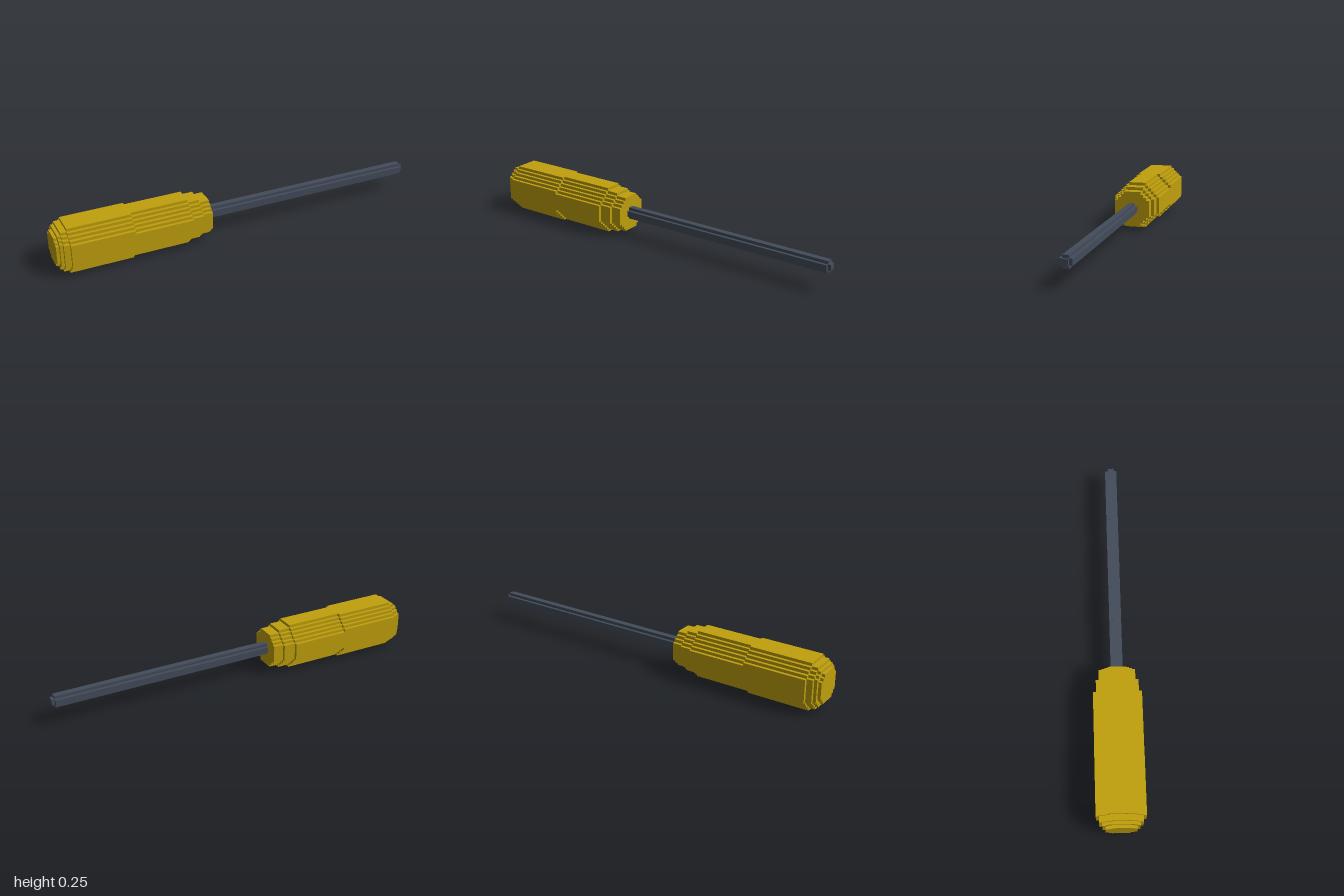
import * as THREE from 'three';

const U = 1 / 64; // one block

// Stepped octagon: half size r, with stair corners that leave flats of half width s - r
function steppedSection(r, s) {
  const quarter = [[r, s - r]];
  let x = r, y = s - r;
  while (x > s - r) {
    x--;
    quarter.push([x, y]);
    y++;
    quarter.push([x, y]);
  }
  const points = [];
  for (let k = 0; k < 4; k++) {
    for (const [a, b] of quarter) {
      const [px, py] = [[a, b], [-b, a], [-a, -b], [b, -a]][k];
      points.push(new THREE.Vector2(px * U, py * U));
    }
  }
  return new THREE.Shape(points);
}

// Prism running along x from x0 to x1 (in blocks)
function segment(name, material, x0, x1, r, s) {
  const geometry = new THREE.ExtrudeGeometry(steppedSection(r, s), {
    depth: (x1 - x0) * U, bevelEnabled: false,
  });
  geometry.rotateY(Math.PI / 2);
  geometry.translate(x0 * U, 8 * U, 0);
  const mesh = new THREE.Mesh(geometry, material);
  mesh.name = name;
  return mesh;
}

export function createModel() {
  const yellow = new THREE.MeshStandardMaterial({ color: 0xc0a00d });
  yellow.name = 'handleYellow';
  const steel = new THREE.MeshStandardMaterial({ color: 0x434c5b });
  steel.name = 'darkSteel';

  const model = new THREE.Group();
  model.name = 'screwdriver';

  // Handle: rounded butt, full grip, slimmer grip, stepped collar
  const handle = new THREE.Group();
  handle.name = 'handle';
  const handleParts = [
    ['buttEnd', -64, -63, 5, 8],
    ['buttMiddle', -63, -62, 6, 10],
    ['buttFront', -62, -60, 7, 11],
    ['rearGrip', -60, -39, 8, 12],
    ['frontGrip', -39, -19.5, 8, 11],
    ['collarRear', -19.5, -15.5, 7, 10],
    ['collarFront', -15.5, -12, 6, 9],
  ];
  for (const [name, x0, x1, r, s] of handleParts) {
    handle.add(segment(name, yellow, x0, x1, r, s));
  }

  // Cross-shaped shaft with a narrow tip
  const blade = new THREE.Group();
  blade.name = 'blade';
  blade.add(segment('shaft', steel, -12, 63, 2, 3));
  blade.add(segment('tip', steel, 63, 64, 1, 2));

  model.add(handle, blade);
  return model;
}
